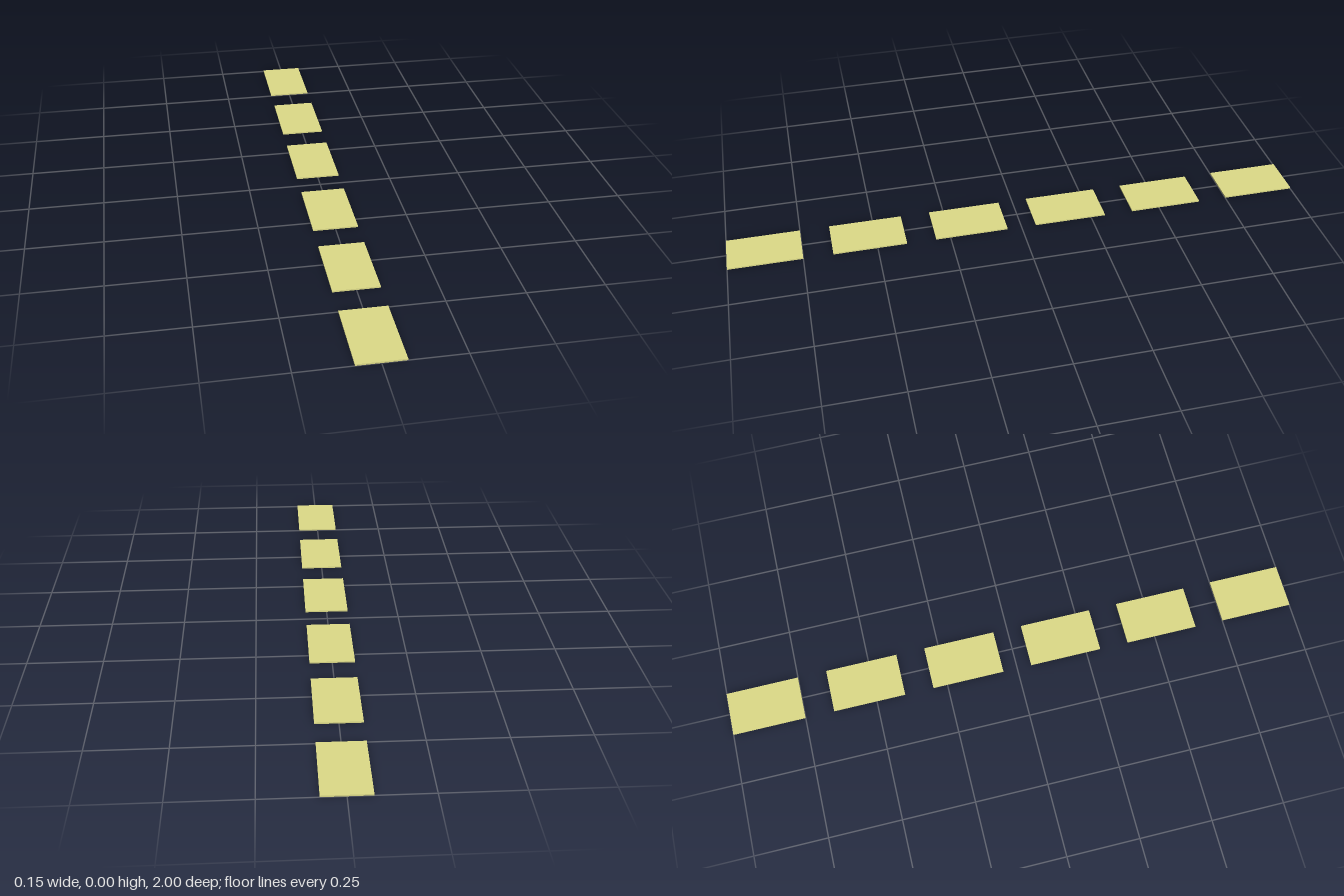
import * as THREE from 'three';

export function createModel() {
  const model = new THREE.Group();
  model.name = 'dashedLine';

  const count = 6, width = 0.15, height = 0.005, length = 0.25, pitch = 0.35;
  const material = new THREE.MeshStandardMaterial({ color: 0xdddb88 });
  const geometry = new THREE.BoxGeometry(width, height, length);

  // Row of thin, evenly spaced slabs along z
  for (let i = 0; i < count; i++) {
    const dash = new THREE.Mesh(geometry, material);
    dash.name = `dash${i + 1}`;
    dash.position.set(0, height / 2, (i - (count - 1) / 2) * pitch);
    model.add(dash);
  }
  return model;
}
